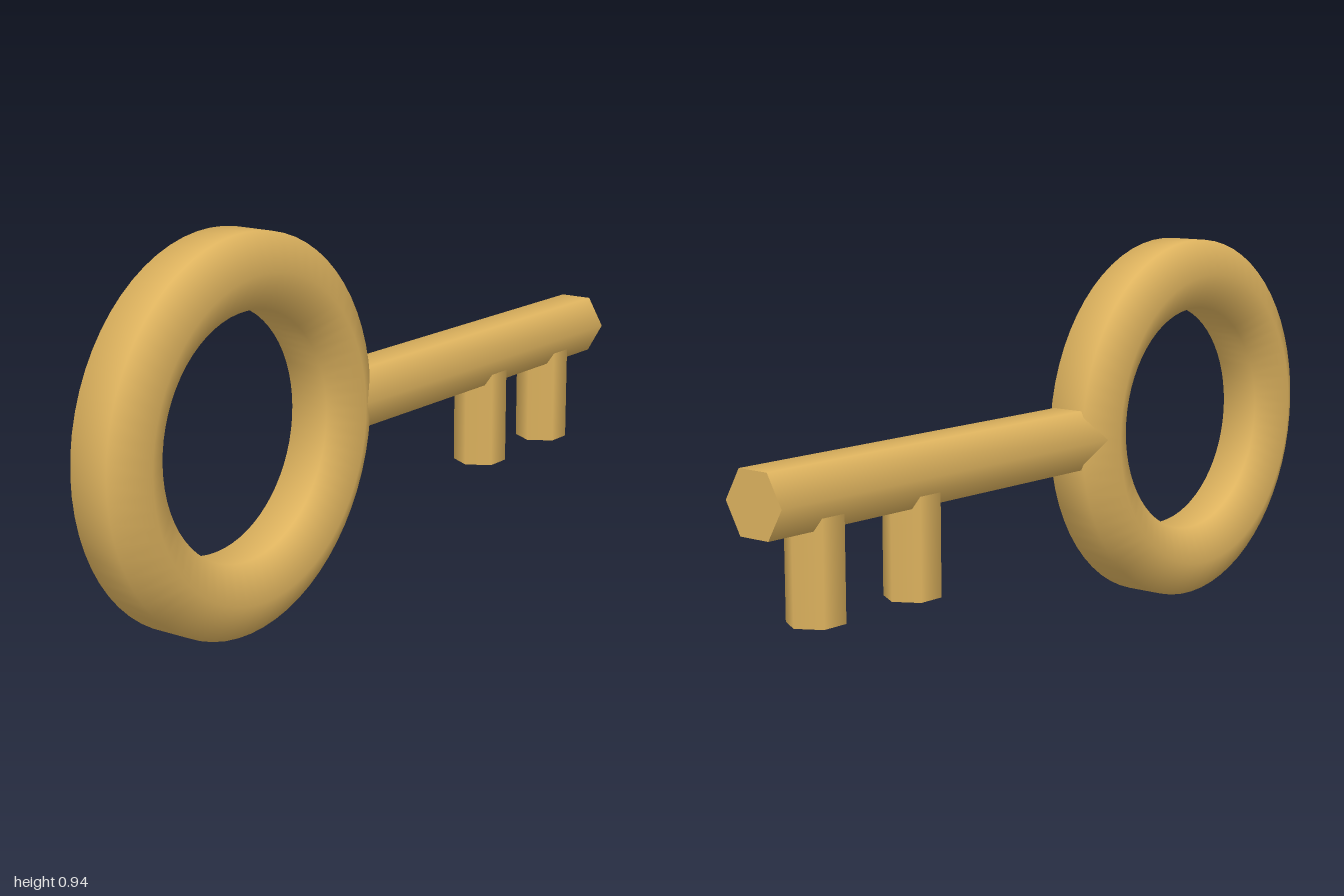
import * as THREE from 'three';

const gold = new THREE.MeshStandardMaterial({ color: 0xdfb45f });
gold.name = 'gold';

// Torus whose six-sided tube has flat inner and outer faces
function hexRing(R, r, segments) {
  const g = new THREE.TorusGeometry(R, r, 6, segments);
  const pos = g.attributes.position, nor = g.attributes.normal;
  for (let j = 0, k = 0; j <= 6; j++) {
    const v = ((j + 0.5) / 6) * Math.PI * 2;
    for (let i = 0; i <= segments; i++, k++) {
      const u = (i / segments) * Math.PI * 2;
      const d = R + r * Math.cos(v);
      pos.setXYZ(k, d * Math.cos(u), d * Math.sin(u), r * Math.sin(v));
      nor.setXYZ(k, Math.cos(v) * Math.cos(u), Math.cos(v) * Math.sin(u), Math.sin(v));
    }
  }
  return g;
}

export function createModel() {
  const key = new THREE.Group();
  key.name = 'key';
  const add = (name, geometry, x, y) => {
    const mesh = new THREE.Mesh(geometry, gold);
    mesh.name = name;
    mesh.position.set(x, y, 0);
    key.add(mesh);
  };
  const midY = 0.473;

  // Handle ring
  add('handleRing', hexRing(0.382, 0.103, 64), -0.529, midY);

  // Six-sided shaft, starting inside the ring
  const start = -0.147, end = 1;
  add('shaft', new THREE.CylinderGeometry(0.086, 0.086, end - start, 6).rotateZ(-Math.PI / 2),
    (start + end) / 2, midY);

  // Two teeth hanging from the shaft
  const bottom = 0.18;
  [0.51, 0.822].forEach((x, i) => add('tooth' + (i + 1),
    new THREE.CylinderGeometry(0.069, 0.069, midY - bottom, 6).rotateY(Math.PI / 2),
    x, (midY + bottom) / 2));

  return key;
}
